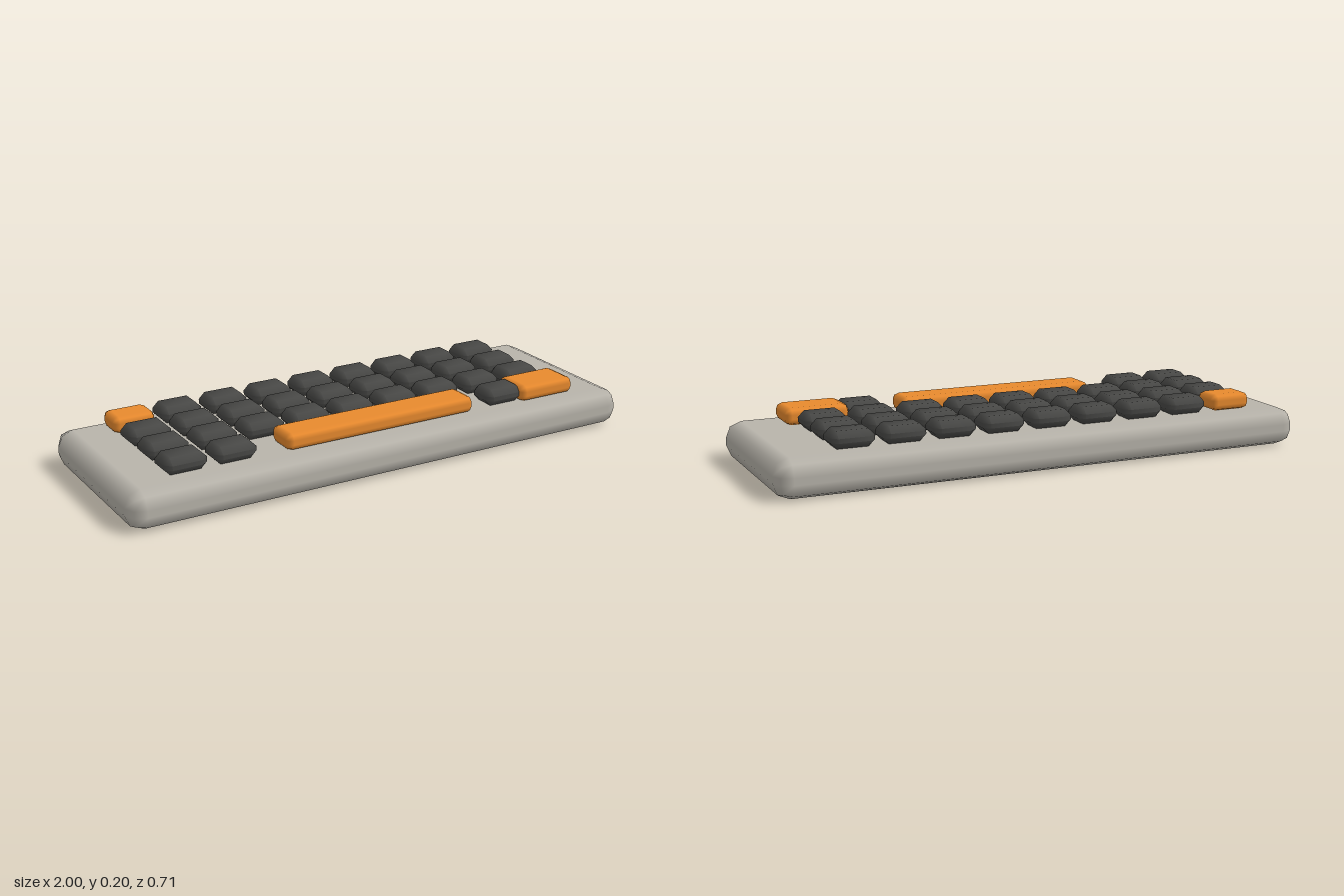
import * as THREE from 'three';
import { RoundedBoxGeometry } from 'three/addons/geometries/RoundedBoxGeometry.js';
import { ConvexGeometry } from 'three/addons/geometries/ConvexGeometry.js';
import { toCreasedNormals } from 'three/addons/utils/BufferGeometryUtils.js';

// Box with a single 45 degree chamfer along every edge
function chamferedBox(w, h, d, c) {
  const points = [];
  for (const x of [-w / 2, w / 2])
    for (const y of [-h / 2, h / 2])
      for (const z of [-d / 2, d / 2]) {
        const ix = x - Math.sign(x) * c, iy = y - Math.sign(y) * c, iz = z - Math.sign(z) * c;
        points.push(
          new THREE.Vector3(x, iy, iz),
          new THREE.Vector3(ix, y, iz),
          new THREE.Vector3(ix, iy, z)
        );
      }
  return toCreasedNormals(new ConvexGeometry(points), 1);
}

export function createModel() {
  const model = new THREE.Group();
  model.name = 'keyboard';
  const caseMaterial = new THREE.MeshStandardMaterial({ color: 0xb8b4ab });
  const darkMaterial = new THREE.MeshStandardMaterial({ color: 0x484846 });
  const accentMaterial = new THREE.MeshStandardMaterial({ color: 0xe88a2e });

  function add(name, geometry, material, x, y, z) {
    const mesh = new THREE.Mesh(geometry, material);
    mesh.name = name;
    mesh.position.set(x, y, z);
    model.add(mesh);
  }

  // Case
  add('case', new RoundedBoxGeometry(2, 0.141, 0.714, 1, 0.058), caseMaterial, 0, 0.0705, 0);

  // Key grid
  const keyY = 0.172, keyH = 0.062, keyW = 0.158, keyD = 0.117, bevel = 0.023;
  const columnX = (c) => -0.757 + c * 0.1834;
  const rowZ = (r) => -0.225 + r * 0.146;
  const keyGeometry = chamferedBox(keyW, keyH, keyD, bevel);
  for (let r = 0; r < 4; r++)
    for (let c = 0; c < 9; c++) {
      if (r === 0 && c === 0) continue; // escape key
      if (r === 3 && ((c > 1 && c < 7) || c === 8)) continue; // space bar and enter key
      add(`key${r}_${c}`, keyGeometry, darkMaterial, columnX(c), keyY, rowZ(r));
    }

  // Accent keys
  const accent = (name, w, d, x, z) =>
    add(name, new RoundedBoxGeometry(w, keyH, d, 1, bevel), accentMaterial, x, keyY, z);
  accent('escapeKey', keyW, keyD, columnX(0), rowZ(0));
  accent('spaceBar', 0.765, 0.13, -0.005, rowZ(3));
  accent('enterKey', 0.236, 0.154, 0.703, rowZ(3));
  return model;
}
